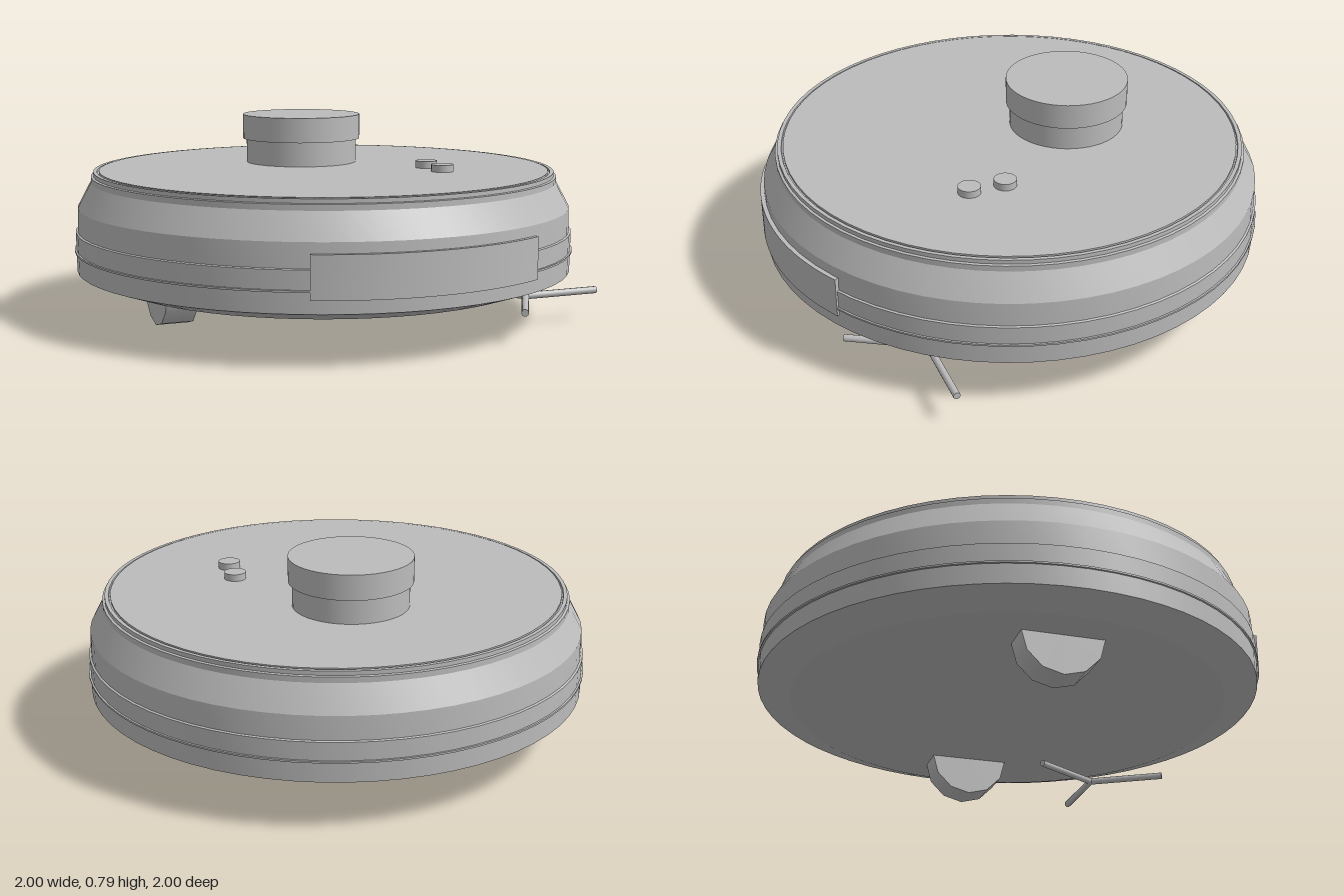
import * as THREE from 'three';
import { toCreasedNormals } from 'three/addons/utils/BufferGeometryUtils.js';

export function createModel() {
  const root = new THREE.Group();
  root.name = 'robotVacuum';
  const grey = new THREE.MeshStandardMaterial({ color: 0xbcbcbc });
  grey.name = 'grey';

  const add = (name, geometry, x = 0, y = 0, z = 0) => {
    const mesh = new THREE.Mesh(geometry, grey);
    mesh.name = name;
    mesh.position.set(x, y, z);
    root.add(mesh);
    return mesh;
  };
  const lathe = (points, segments = 64, start = 0, length = Math.PI * 2) =>
    toCreasedNormals(new THREE.LatheGeometry(
      points.map(([r, y]) => new THREE.Vector2(r, y)), segments, start, length), 0.3);
  const disc = (name, radius, bottom, top, x, z, segments) =>
    add(name, new THREE.CylinderGeometry(radius, radius, top - bottom, segments), x, (bottom + top) / 2, z);

  // Round shell: bevelled underside, straight wall, sloped shoulder
  add('body', lathe([
    [0, 0.155], [0.86, 0.155], [0.99, 0.2], [0.993, 0.355], [0.985, 0.358],
    [0.983, 0.45], [0.93, 0.55], [0.93, 0.572], [0.92, 0.574], [0.92, 0.59],
    [0.905, 0.59], [0.903, 0.584], [0, 0.584],
  ]));
  disc('topPlate', 0.898, 0.57, 0.592, 0, 0, 64);

  // Thin seam around the wall
  add('seamRing', lathe([[0.985, 0.276], [0.9985, 0.277], [0.9985, 0.284], [0.985, 0.285]]));

  // Curved front bumper panel, closed at both ends
  const from = -0.434, to = 0.515;
  const panel = new THREE.Shape();
  panel.absarc(0, 0, 1, Math.PI / 2 + from, Math.PI / 2 + to, false);
  panel.absarc(0, 0, 0.97, Math.PI / 2 + to, Math.PI / 2 + from, true);
  const panelGeometry = new THREE.ExtrudeGeometry(panel, { depth: 0.16, bevelEnabled: false, curveSegments: 20 });
  panelGeometry.rotateX(Math.PI / 2).scale(-1, 1, 1);
  // Mirroring reverses the faces, so swap two corners of each triangle
  for (const attribute of Object.values(panelGeometry.attributes)) {
    const n = attribute.itemSize, a = attribute.array;
    for (let i = 0; i < a.length; i += 3 * n)
      for (let k = 0; k < n; k++) [a[i + n + k], a[i + 2 * n + k]] = [a[i + 2 * n + k], a[i + n + k]];
  }
  add('frontBumper', toCreasedNormals(panelGeometry, 0.3), 0, 0.41, 0);

  // Sensor turret and buttons
  disc('turretBase', 0.228, 0.58, 0.69, 0, -0.245, 48);
  disc('turretCap', 0.243, 0.69, 0.79, 0, -0.245, 48);
  for (const z of [0.167, 0.311]) disc('button', 0.044, 0.58, 0.62, 0.38, z, 24);

  // Drive wheels, half sunk into the underside
  for (const side of [-1, 1]) {
    const wheel = new THREE.CylinderGeometry(0.16, 0.16, 0.127, 12);
    wheel.rotateX(0).rotateZ(Math.PI / 2);
    add(side > 0 ? 'leftWheel' : 'rightWheel', wheel, side * 0.645, 0.16, 0);
  }

  // Three-armed side brush
  const brush = new THREE.Group();
  brush.name = 'sideBrush';
  brush.position.set(0.617, 0.122, 0.568);
  for (let i = 0; i < 3; i++) {
    const arm = new THREE.CylinderGeometry(0.014, 0.014, 0.318, 10);
    arm.rotateZ(-Math.PI / 2).translate(0.159, 0, 0).rotateY(i * Math.PI * 2 / 3);
    const mesh = new THREE.Mesh(arm, grey);
    mesh.name = 'brushArm';
    brush.add(mesh);
  }
  root.add(brush);
  return root;
}
